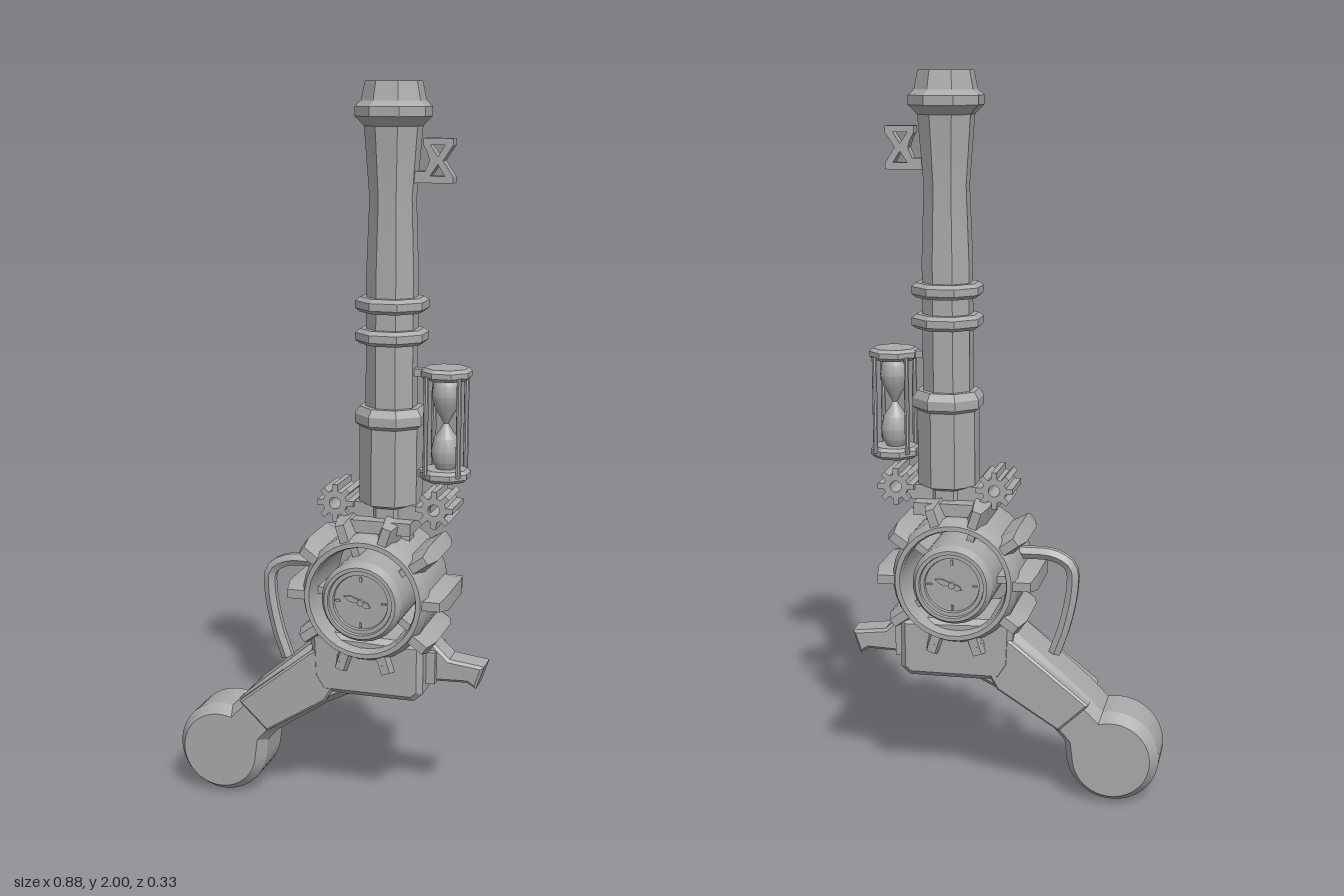
import * as THREE from 'three';
import { toCreasedNormals } from 'three/addons/utils/BufferGeometryUtils.js';

const metal = new THREE.MeshStandardMaterial({ color: 0xaaaaaa });
metal.name = 'grey metal';

const AXIS = 0.16;                 // barrel axis x
const GEAR = { x: 0.12, y: 0.63 }; // wheel centre

function add(parent, name, geometry, x = 0, y = 0, z = 0) {
  const mesh = new THREE.Mesh(toCreasedNormals(geometry, 0.45), metal);
  mesh.name = name;
  mesh.position.set(x, y, z);
  parent.add(mesh);
  return mesh;
}

const box = (w, h, d) => new THREE.BoxGeometry(w, h, d);

// Turned shape; eight-sided ones get flats facing the main axes
function lathe(points, sides) {
  const k = sides === 8 ? 1 / Math.cos(Math.PI / 8) : 1;
  const pts = points.map(([r, y]) => new THREE.Vector2(r * k, y));
  return new THREE.LatheGeometry(pts, sides, Math.PI / sides);
}

function outline(points) {
  return new THREE.Shape(points.map(([x, y]) => new THREE.Vector2(x, y)));
}

// Plate centred on z = 0 with total thickness, optional bevel kept inside the outline
function slab(shape, thickness, bevel = 0, bevelZ = bevel) {
  const depth = thickness - 2 * bevelZ;
  const g = new THREE.ExtrudeGeometry(shape, {
    depth, bevelEnabled: bevel > 0, bevelSize: bevel, bevelThickness: bevelZ,
    bevelOffset: -bevel, bevelSegments: 1, curveSegments: 24,
  });
  return g.translate(0, 0, -depth / 2);
}

function cogShape(teeth, inner, outer) {
  const pts = [];
  for (let i = 0; i < teeth; i++) {
    for (const [f, r] of [[-0.3, inner], [-0.18, outer], [0.18, outer], [0.3, inner]]) {
      const a = ((i + f) / teeth) * Math.PI * 2;
      pts.push([r * Math.cos(a), r * Math.sin(a)]);
    }
  }
  return outline(pts);
}

function buildBarrel(root) {
  const g = new THREE.Group();
  g.name = 'barrel';
  root.add(g);
  add(g, 'barrelTube', lathe([
    [0, 0.76], [0.06, 0.76], [0.06, 0.87], [0.08, 0.88], [0.08, 1.09], [0.092, 1.1], [0.092, 1.125],
    [0.08, 1.145], [0.065, 1.145], [0.065, 1.5], [0.058, 1.7], [0.072, 1.885], [0.085, 1.9],
    [0.095, 1.91], [0.095, 1.935], [0.08, 1.95], [0.07, 2], [0.043, 2], [0.043, 1.9], [0, 1.9],
  ], 8), AXIS);
  for (const y of [1.335, 1.42]) {
    add(g, 'barrelBand', lathe([
      [0.06, -0.02], [0.08, -0.02], [0.092, -0.01], [0.092, 0.01], [0.08, 0.02], [0.06, 0.02],
    ], 8), AXIS, y);
  }
}

function buildHourglass(root) {
  const g = new THREE.Group();
  g.name = 'hourglass';
  g.position.x = 0.312;
  root.add(g);
  for (const y of [0.965, 1.24]) {
    add(g, 'hourglassCap', lathe([
      [0, -0.016], [0.055, -0.016], [0.064, -0.007], [0.064, 0.007], [0.055, 0.016], [0, 0.016],
    ], 8), 0, y);
    add(g, 'hourglassBracket', box(0.1, 0.02, 0.03), -0.07, y);
  }
  const glass = [[0.022, 0.975], [0.036, 1.0], [0.04, 1.03], [0.032, 1.065], [0.012, 1.095], [0.007, 1.105],
    [0.012, 1.115], [0.032, 1.15], [0.04, 1.18], [0.036, 1.21], [0.022, 1.235]];
  add(g, 'hourglassBulbs', lathe(glass, 20));
  for (const x of [-0.045, 0.045]) for (const z of [-0.045, 0.045]) {
    add(g, 'hourglassPost', new THREE.CylinderGeometry(0.007, 0.007, 0.27, 8), x, 1.1, z);
  }
}

function buildSight(root) {
  // Bow-tie front sight
  const s = outline([[0.21, 1.74], [0.325, 1.74], [0.325, 1.757], [0.298, 1.798], [0.325, 1.838],
    [0.325, 1.855], [0.245, 1.855], [0.245, 1.838], [0.255, 1.82], [0.262, 1.798], [0.25, 1.77], [0.21, 1.77]]);
  s.holes.push(outline([[0.263, 1.758], [0.303, 1.758], [0.284, 1.788]]));
  s.holes.push(outline([[0.263, 1.838], [0.284, 1.808], [0.303, 1.838]]));
  add(root, 'frontSight', slab(s, 0.036));
}

function buildWheel(root) {
  const g = new THREE.Group();
  g.name = 'wheel';
  g.position.set(GEAR.x, GEAR.y, 0);
  root.add(g);
  // Open rim
  add(g, 'rim', lathe([
    [0.145, -0.125], [0.15, -0.142], [0.163, -0.142], [0.177, -0.11], [0.177, 0.11],
    [0.163, 0.142], [0.15, 0.142], [0.145, 0.125], [0.145, -0.125],
  ], 32).rotateX(Math.PI / 2));
  // Hub with a stepped dial on both ends
  const half = [[0.112, 0.145], [0.1, 0.166], [0.09, 0.166], [0.088, 0.157], [0.077, 0.157],
    [0.075, 0.149], [0, 0.149]];
  add(g, 'hub', lathe([
    ...half.map(([r, z]) => [r, -z]).reverse(), [0.112, -0.1], [0.112, 0.1], ...half,
  ], 32).rotateX(Math.PI / 2));
  for (let i = 0; i < 10; i++) {
    const a = (i / 10) * Math.PI * 2;
    // Long teeth narrowing to points at both ends
    const tooth = new THREE.BoxGeometry(0.07, 0.062, 0.27, 1, 1, 4);
    const p = tooth.attributes.position;
    for (let v = 0; v < p.count; v++) {
      const end = Math.abs(p.getZ(v)) > 0.1;
      if (Math.abs(p.getZ(v)) > 0.05 && !end) p.setZ(v, Math.sign(p.getZ(v)) * 0.08);
      const outer = p.getX(v) > 0;
      p.setY(v, p.getY(v) * (end ? 0.4 : outer ? 0.72 : 1));
      if (end && outer) p.setX(v, 0.024);
    }
    tooth.translate(0.19, 0, 0).rotateZ(a);
    add(g, 'wheelTooth', tooth);
    if (i % 2) add(g, 'spoke', box(0.06, 0.02, 0.16).translate(0.128, 0, 0).rotateZ(a));
  }
  // Clock hands and hour marks
  for (const side of [-1, 1]) {
    const dial = new THREE.Group();
    dial.name = 'dialMarks';
    dial.rotation.y = side < 0 ? Math.PI : 0;
    g.add(dial);
    for (const [a, len] of [[2.85, 0.05], [-0.45, 0.03]]) {
      const hand = outline([[-0.006, -0.004], [len * 0.6, -0.008], [len, 0], [len * 0.6, 0.008], [-0.006, 0.004]]);
      add(dial, 'clockHand', slab(hand, 0.006).rotateZ(a), 0, 0, 0.153);
    }
    add(dial, 'handPin', new THREE.CylinderGeometry(0.009, 0.009, 0.012, 12).rotateX(Math.PI / 2), 0, 0, 0.154);
    for (let i = 0; i < 4; i++) {
      add(dial, 'hourMark', box(0.014, 0.005, 0.006).translate(0.064, 0, 0.151).rotateZ(i * Math.PI / 2));
    }
  }
}

function buildTopGears(root) {
  const g = new THREE.Group();
  g.name = 'topGears';
  root.add(g);
  add(g, 'gearMount', box(0.25, 0.04, 0.1), AXIS, 0.862);
  add(g, 'neckCollar', box(0.18, 0.035, 0.19), AXIS - 0.01, 0.825);
  for (const x of [0.02, 0.297]) {
    const cog = cogShape(8, 0.034, 0.052);
    cog.holes.push(new THREE.Path().absarc(0, 0, 0.016, 0, Math.PI * 2, true));
    add(g, 'smallGear', slab(cog, 0.13), x, 0.877);
  }
}

function buildBody(root) {
  add(root, 'body', slab(outline([[-0.04, 0.52], [-0.035, 0.39], [-0.005, 0.343], [0.255, 0.343],
    [0.28, 0.365], [0.28, 0.51]]), 0.216, 0.015));
  // Studs on both faces
  for (const x of [0.055, 0.175]) for (const side of [-1, 1]) {
    add(root, 'stud', new THREE.ConeGeometry(0.02, 0.035, 6).rotateX(side * Math.PI / 2), x, 0.45, side * 0.12);
  }
  // Rear spur
  add(root, 'spur', slab(outline([[0.26, 0.53], [0.29, 0.5], [0.34, 0.452], [0.437, 0.44],
    [0.415, 0.375], [0.39, 0.39], [0.26, 0.385]]), 0.084, 0.008));
  add(root, 'spurMount', box(0.04, 0.09, 0.12), 0.285, 0.43);
}

function buildGrip(root) {
  const s = new THREE.Shape();
  s.moveTo(0.05, 0.5);
  s.lineTo(-0.03, 0.485);
  s.lineTo(-0.235, 0.31);
  s.absarc(-0.315, 0.13, 0.13, 1.35, Math.PI * 2 - 0.08, false);
  s.lineTo(-0.18, 0.165);
  s.lineTo(-0.15, 0.2);
  s.lineTo(0.0, 0.3);
  s.lineTo(0.12, 0.36);
  add(root, 'grip', slab(s, 0.194, 0.022, 0.035));
  // Raised panel beside the body
  add(root, 'gripPanel', slab(outline([[0.0, 0.48], [-0.04, 0.458], [-0.252, 0.288], [-0.168, 0.208],
    [0.005, 0.318], [0.04, 0.38]]), 0.214, 0.006));
}

function buildLoop(root) {
  const path = new THREE.CatmullRomCurve3([
    [-0.14, 0.4], [-0.17, 0.49], [-0.19, 0.6], [-0.185, 0.655], [-0.14, 0.685], [-0.04, 0.69],
  ].map(([x, y]) => new THREE.Vector3(x, y, 0)));
  add(root, 'triggerLoop', new THREE.TubeGeometry(path, 20, 0.019, 6));
}

export function createModel() {
  const root = new THREE.Group();
  root.name = 'clockworkGun';
  buildBarrel(root);
  buildHourglass(root);
  buildSight(root);
  buildWheel(root);
  buildTopGears(root);
  buildBody(root);
  buildGrip(root);
  buildLoop(root);
  return root;
}
